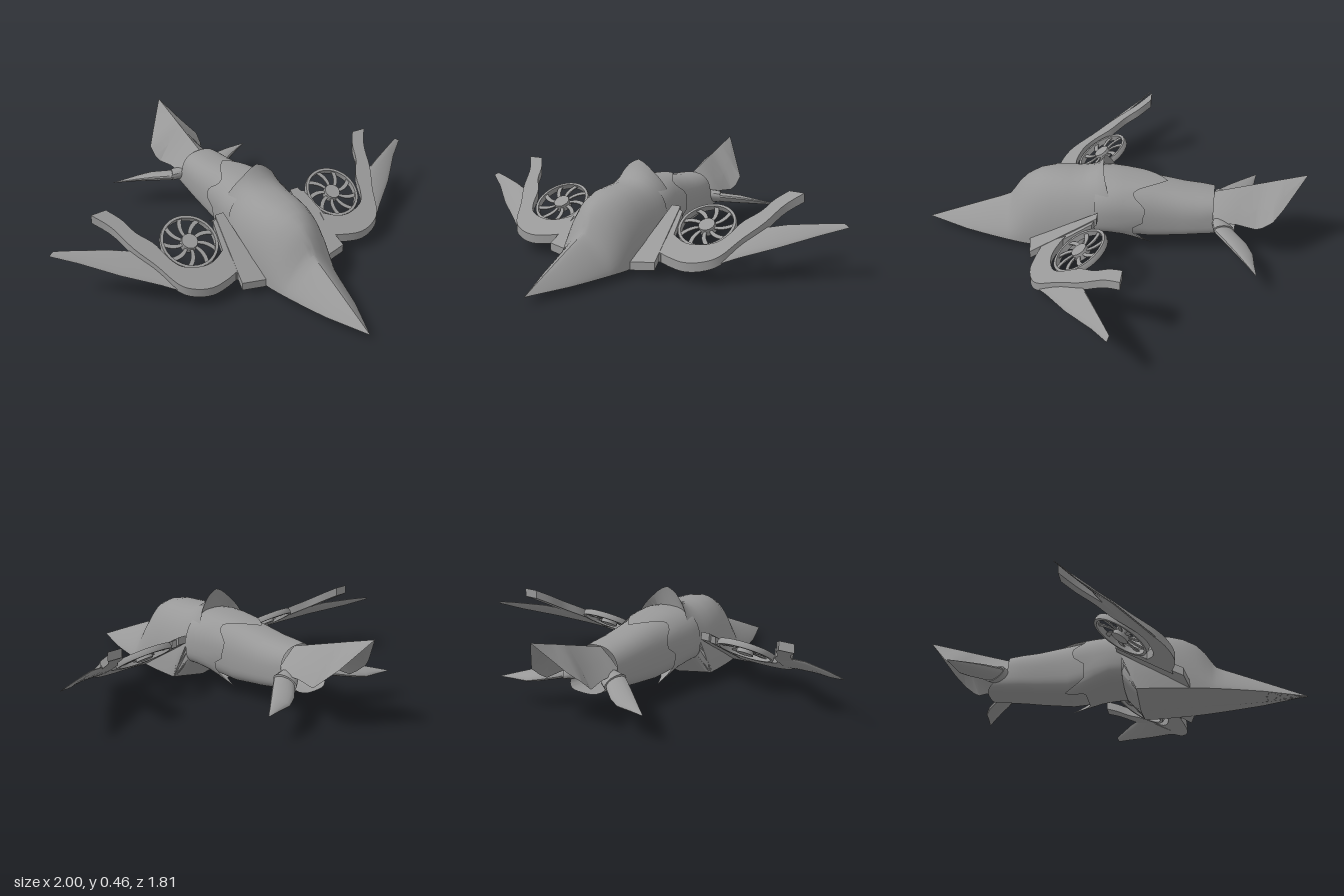
import * as THREE from 'three';
import { toCreasedNormals } from 'three/addons/utils/BufferGeometryUtils.js';

const mat = new THREE.MeshStandardMaterial({ color: 0x999999, side: THREE.DoubleSide });

function part(name, geo, parent) {
  const m = new THREE.Mesh(geo, mat);
  m.name = name;
  parent.add(m);
  return m;
}

// Skin through rings of [x, y, z] points
function loft(rings, { closed = true, caps = true, crease = 0.6 } = {}) {
  const n = rings[0].length, pos = rings.flat(2), idx = [];
  const cols = closed ? n : n - 1;
  for (let i = 0; i < rings.length - 1; i++)
    for (let j = 0; j < cols; j++) {
      const k = (j + 1) % n;
      const a = i * n + j, b = i * n + k, c = a + n, d = b + n;
      idx.push(a, d, b, a, c, d);
    }
  if (closed && caps)
    for (const i of [0, rings.length - 1]) {
      const mean = [0, 1, 2].map(q => rings[i].reduce((s, p) => s + p[q], 0) / n);
      const m = pos.length / 3;
      pos.push(...mean);
      for (let j = 0; j < n; j++) {
        const a = i * n + j, b = i * n + (j + 1) % n;
        if (i) idx.push(m, b, a); else idx.push(m, a, b);
      }
    }
  const g = new THREE.BufferGeometry();
  g.setAttribute('position', new THREE.Float32BufferAttribute(pos, 3));
  g.setIndex(idx);
  return toCreasedNormals(g, crease);
}

// Superellipse hull section; adjust(x, y, z, angle) may move each point
function section([z, w, top, mid, bot, nt = 2.5, nb = 2.5], adjust) {
  const pts = [], N = 48;
  for (let j = 0; j < N; j++) {
    const a = j / N * Math.PI * 2, c = Math.cos(a), s = Math.sin(a);
    const e = 2 / (s >= 0 ? nt : nb);
    const x = w * Math.sign(c) * Math.abs(c) ** e;
    const h = Math.abs(s) ** e;
    const y = s >= 0 ? mid + (top - mid) * h : mid - (mid - bot) * h;
    pts.push(adjust ? adjust(x, y, z, a) : [x, y, z]);
  }
  return pts;
}

// Lens-shaped section between a leading and a trailing point
function lens([lead, trail, thick]) {
  return Array.from({ length: 16 }, (_, j) => {
    const a = j / 16 * Math.PI * 2, t = (1 - Math.cos(a)) / 2;
    return lead.map((v, q) => v + (trail[q] - v) * t + (q === 1 ? thick * Math.sin(a) : 0));
  });
}

// Height of the sloping wing plane, low at the front
const wingY = z => 0.205 + 0.585 * (0.095 - z);

// Smooth [x, z] line through a few points
const smooth = pts => new THREE.SplineCurve(pts.map(p => new THREE.Vector2(...p))).getPoints(28).map(p => [p.x, p.y]);

// Flat plate with an [x, z] outline lying on the wing plane
function plate(outline, low, high) {
  const shape = new THREE.Shape(outline.map(([x, z]) => new THREE.Vector2(x, -z)));
  const g = new THREE.ExtrudeGeometry(shape, { depth: high - low, bevelEnabled: false });
  g.rotateX(-Math.PI / 2);
  const p = g.attributes.position;
  for (let i = 0; i < p.count; i++) p.setY(i, p.getY(i) + low + wingY(p.getZ(i)));
  return toCreasedNormals(g, 0.5);
}

function buildFan() {
  const fan = new THREE.Group();
  fan.name = 'fan';
  const profile = [[0.122, -0.014], [0.135, -0.014], [0.138, 0], [0.135, 0.014], [0.122, 0.014], [0.122, -0.014]];
  const rim = new THREE.LatheGeometry(profile.map(p => new THREE.Vector2(...p)), 40);
  part('fanRim', toCreasedNormals(rim, 0.5), fan);
  part('fanHub', new THREE.CylinderGeometry(0.038, 0.041, 0.036, 20), fan);
  // Swept blade
  const s = new THREE.Shape();
  s.moveTo(0.034, -0.007);
  s.quadraticCurveTo(0.085, -0.016, 0.122, 0.022);
  s.lineTo(0.115, 0.042);
  s.quadraticCurveTo(0.08, 0.006, 0.034, 0.007);
  const blade = new THREE.ExtrudeGeometry(s, { depth: 0.005, bevelEnabled: false, curveSegments: 8 });
  blade.rotateX(-Math.PI / 2);
  for (let i = 0; i < 9; i++) part('fanBlade', blade, fan).rotation.y = i * Math.PI * 2 / 9;
  fan.position.set(0.405, 0.198, 0.09);
  fan.rotation.x = 0.55;
  return fan;
}

function buildSide() {
  const side = new THREE.Group();
  side.name = 'wing';
  part('wingRoot', plate([[0.19, 0.04], [0.235, 0.04], [0.285, 0.35], [0.17, 0.37]], -0.014, 0.024), side);
  part('rootBracket', plate([[0.235, 0.05], [0.258, 0.06], [0.29, 0.2], [0.285, 0.3], [0.25, 0.3]], -0.018, 0.018), side);
  // Boom sweeping round the fan into the raised winglet
  part('wingBoom', plate([
    ...smooth([[0.26, 0.29], [0.34, 0.312], [0.42, 0.322], [0.5, 0.303], [0.56, 0.26], [0.61, 0.16], [0.67, 0.06], [0.715, -0.05], [0.775, -0.128]]),
    ...smooth([[0.7, -0.13], [0.655, -0.07], [0.625, 0], [0.57, 0.07], [0.54, 0.15], [0.5, 0.2], [0.42, 0.225], [0.35, 0.22], [0.27, 0.18]]),
  ], -0.02, 0.022), side);
  part('outerWing', loft([
    [[0.52, wingY(0.29) - 0.01, 0.29], [0.56, wingY(0.09) - 0.01, 0.09], 0.012],
    [[0.62, wingY(0.21) - 0.02, 0.21], [0.63, wingY(0.06) - 0.01, 0.06], 0.012],
    [[0.76, 0.16, 0.105], [0.76, 0.24, 0], 0.01],
    [[0.9, 0.205, -0.025], [0.9, 0.248, -0.07], 0.006],
    [[1.0, 0.236, -0.1], [0.975, 0.25, -0.108], 0.002],
  ].map(lens)), side);
  side.add(buildFan());
  // Drooping tail fin with its sleeve
  part('tailFinSleeve', loft([
    [[0.09, 0.19, -0.485], [0.07, 0.165, -0.56], 0.032],
    [[0.16, 0.185, -0.495], [0.118, 0.158, -0.595], 0.03],
  ].map(lens)), side);
  part('tailFin', loft([
    [[0.12, 0.185, -0.49], [0.1, 0.165, -0.565], 0.024],
    [[0.165, 0.18, -0.502], [0.14, 0.155, -0.605], 0.024],
    [[0.24, 0.168, -0.563], [0.2, 0.145, -0.655], 0.021],
    [[0.3, 0.156, -0.613], [0.255, 0.135, -0.682], 0.014],
    [[0.35, 0.144, -0.655], [0.33, 0.133, -0.689], 0.008],
    [[0.4, 0.132, -0.695], [0.395, 0.131, -0.698], 0.001],
  ].map(lens)), side);
  return side;
}

export function createModel() {
  const model = new THREE.Group();

  // Keeled nose blending into the domed canopy and a peaked crest with a raked rear edge
  const crest = (x, y, z) => {
    const t = Math.min(1, Math.max(0, (0.13 - z) / 0.1));
    const tip = y > 0.3 ? 0.025 * t * t * Math.max(0, 1 - Math.abs(x) / 0.08) : 0;
    const rake = 0.1 * Math.max(0, (0.28 - y) / 0.25) - 0.035 * Math.max(0, 1 - Math.abs(y - 0.32) / 0.1);
    return [x, y + tip, z + t * Math.min(0.1, rake)];
  };
  part('noseAndCanopy', loft([
    ...[
      [0.9, 0.002, 0.034, 0.032, 0.028, 1.1, 1], [0.7, 0.085, 0.117, 0.032, 0.014, 1.2, 1],
      [0.6, 0.115, 0.158, 0.032, 0.01, 1.25, 1], [0.53, 0.134, 0.186, 0.032, 0.008, 1.3, 1],
      [0.49, 0.144, 0.204, 0.032, 0.008, 1.35, 1], [0.47, 0.149, 0.232, 0.032, 0.007, 1.4, 1],
      [0.44, 0.156, 0.278, 0.032, 0.007, 1.55, 1], [0.4, 0.164, 0.318, 0.032, 0.006, 1.8, 1],
      [0.34, 0.173, 0.347, 0.032, 0.005, 2.15, 1], [0.27, 0.182, 0.36, 0.032, 0.003, 2.4, 1],
      [0.19, 0.188, 0.362, 0.032, 0.001, 2.5, 1], [0.13, 0.19, 0.364, 0.032, 0, 2.5, 1],
      [0.1, 0.19, 0.373, 0.032, 0, 2.45, 1], [0.07, 0.189, 0.39, 0.032, 0, 2.35, 1],
      [0.045, 0.187, 0.413, 0.032, 0, 2.25, 1], [0.03, 0.185, 0.43, 0.032, 0, 2.2, 1],
    ].map(s => section(s, crest)),
    section([0.06, 0.15, 0.335, 0.15, 0.09]),
  ]), model);

  // Rear fuselage, its open end slanting back along the flat belly
  part('fuselage', loft([
    [0.1, 0.155, 0.34, 0.2, 0.1, 2.5, 3], [0, 0.165, 0.354, 0.2, 0.1, 2.5, 3], [-0.1, 0.148, 0.352, 0.19, 0.08, 2.5, 3.2],
    [-0.2, 0.13, 0.338, 0.18, 0.068, 2.5, 3.4], [-0.35, 0.122, 0.312, 0.18, 0.083, 2.5, 3.4],
    [-0.43, 0.118, 0.305, 0.185, 0.094, 2.5, 3.4], [-0.49, 0.108, 0.298, 0.19, 0.11, 2.5, 3.4],
  ].map((s, i) => section(s, i === 6 ? (x, y, z) => [x, y, z - Math.max(0, 0.2 - y) * 1.2] : null)), { caps: false }), model);

  // Shoulder shell with a pointed spine and jagged lower edge
  const jagged = (x, y, z, a) => {
    const spine = Math.max(0, 1 - Math.abs(a - Math.PI / 2) / 0.6);
    const side = Math.max(0, 1 - Math.abs(Math.abs(Math.cos(a)) - 0.95) / 0.2) * (a < Math.PI ? 1 : 0);
    const spike = Math.max(0, 1 - Math.abs(Math.abs(a - Math.PI * 1.5) - 0.75) / 0.4);
    return [x, y - 0.035 * spike - 0.02 * spine, z - 0.15 * spine - 0.06 * side - 0.1 * spike];
  };
  part('shoulderShell', loft([
    [0.06, 0.172, 0.355, 0.2, 0.095, 2.5, 3], [0, 0.174, 0.362, 0.2, 0.095, 2.5, 3],
    [-0.07, 0.163, 0.361, 0.195, 0.08, 2.5, 3], [-0.12, 0.152, 0.358, 0.19, 0.066, 2.5, 3],
  ].map((s, i) => section(s, i === 3 ? jagged : null)), { caps: false }), model);

  // Roof-shaped tail: [z, half width, ridge height, edge height]
  part('tail', loft([
    [-0.47, 0.1, 0.288, 0.2], [-0.52, 0.114, 0.303, 0.195], [-0.6, 0.11, 0.327, 0.19], [-0.69, 0.125, 0.354, 0.18],
    [-0.72, 0.138, 0.363, 0.2], [-0.765, 0.14, 0.377, 0.238], [-0.81, 0.1, 0.39, 0.285], [-0.91, 0.001, 0.42, 0.418],
  ].map(([z, w, r, e]) => [1, 0.6, 0, -0.6, -1].map(t => [w * t, r + (e - r) * Math.abs(t) ** 1.2, z])),
  { closed: false, crease: 0.4 }), model);

  // Wings, fans and tail fins on both sides
  const left = buildSide();
  left.name = 'leftWing';
  const right = left.clone();
  right.name = 'rightWing';
  right.scale.x = -1;
  model.add(left, right);
  return model;
}
